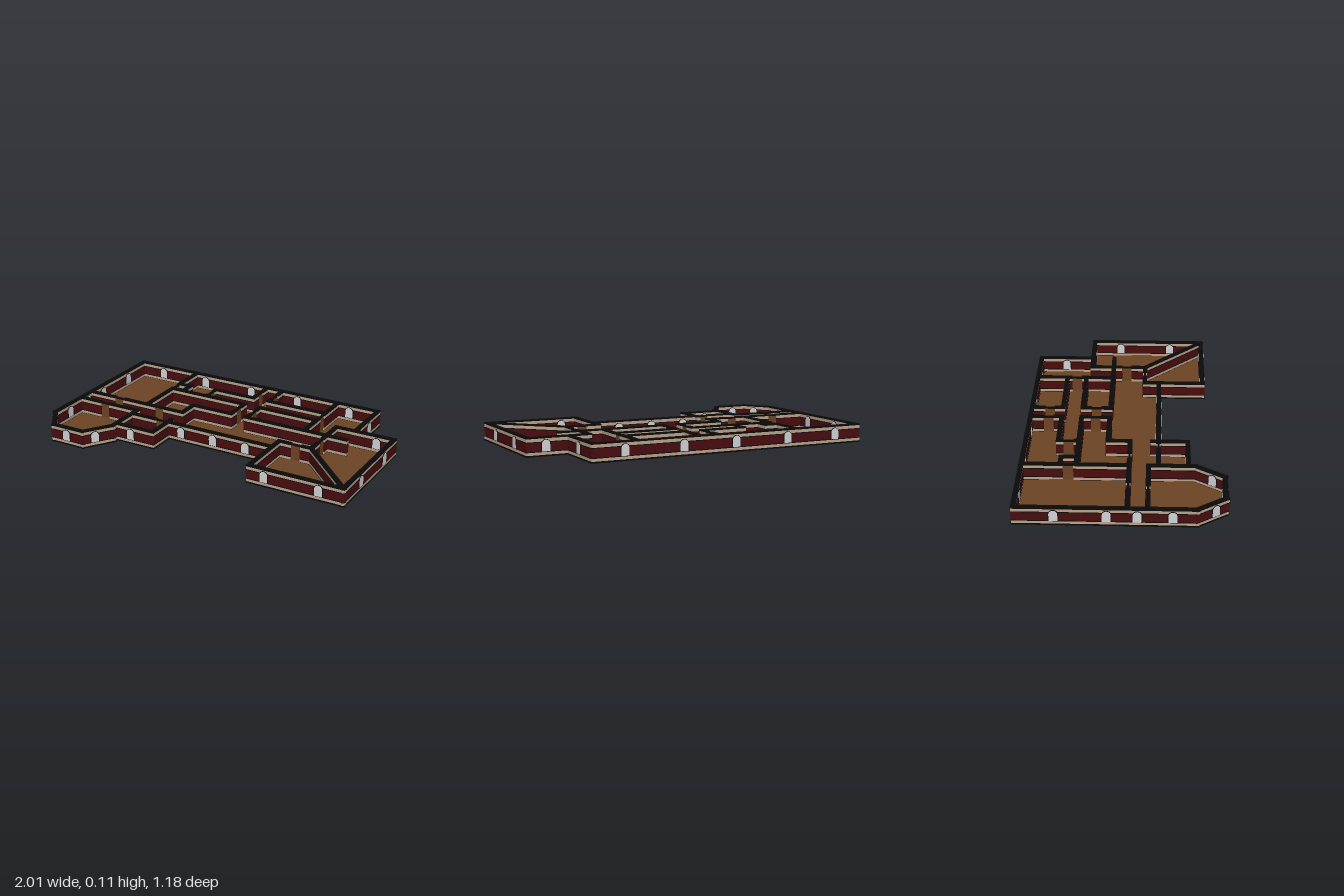
import * as THREE from 'three';

const flat = (name, color, opts = {}) => {
  const m = new THREE.MeshStandardMaterial({ color, ...opts });
  m.name = name;
  return m;
};

export function createModel() {
  const black = flat('black trim', 0x0a0a0a);
  const tan = flat('tan plaster', 0xbca48c);
  const red = flat('dark red wall', 0x4a0d10);
  const brown = flat('brown wood', 0x6e4424);
  const glass = flat('pale glass', 0xd2d4d6);

  const model = new THREE.Group();
  model.name = 'floorPlanHouse';

  // Horizontal bands of every wall: bottom, top, thickness, material, name
  const bands = [
    [0.001, 0.01, 0.028, black, 'baseTrim'],
    [0.01, 0.026, 0.024, tan, 'lowerPlaster'],
    [0.026, 0.031, 0.027, black, 'lowerLine'],
    [0.031, 0.081, 0.026, red, 'wallPanel'],
    [0.081, 0.085, 0.027, black, 'upperLine'],
    [0.085, 0.103, 0.024, tan, 'upperPlaster'],
    [0.103, 0.112, 0.028, black, 'capTrim'],
  ];

  function box(parent, name, mat, x0, x1, y0, y1, thick) {
    const mesh = new THREE.Mesh(new THREE.BoxGeometry(x1 - x0, y1 - y0, thick), mat);
    mesh.position.set((x0 + x1) / 2, (y0 + y1) / 2, 0);
    mesh.name = name;
    parent.add(mesh);
  }

  // Arched plate centred through the wall thickness
  function arch(parent, name, mat, x, y0, top, width, depth) {
    const r = width / 2;
    const s = new THREE.Shape();
    s.moveTo(-r, y0);
    s.lineTo(r, y0);
    s.lineTo(r, top - r);
    s.absarc(0, top - r, r, 0, Math.PI, false);
    s.closePath();
    const geo = new THREE.ExtrudeGeometry(s, { depth, bevelEnabled: false, curveSegments: 10 });
    geo.translate(x, 0, -depth / 2);
    const mesh = new THREE.Mesh(geo, mat);
    mesh.name = name;
    parent.add(mesh);
  }

  // Wall from a to b; windows and doors are distances along it
  function wall(name, [ax, az], [bx, bz], { windows = [], doors = [] } = {}) {
    const g = new THREE.Group();
    g.name = name;
    g.position.set(ax, 0, az);
    g.rotation.y = -Math.atan2(bz - az, bx - ax);
    const len = Math.hypot(bx - ax, bz - az);
    const half = 0.03;
    const stops = [0, ...doors.flatMap((d) => [d - half, d + half]), len];
    for (const [y0, y1, t, mat, part] of bands) {
      for (let i = 0; i < stops.length; i += 2) {
        const start = stops[i] - (i === 0 ? t / 2 : 0);
        const end = stops[i + 1] + (i + 2 === stops.length ? t / 2 : 0);
        box(g, part, mat, start, end, y0, y1, t);
      }
    }
    for (const d of doors) {
      box(g, 'door', brown, d - half, d + half, 0.008, 0.1, 0.012);
      box(g, 'doorLintel', black, d - half, d + half, 0.1, 0.11, 0.013);
    }
    for (const w of windows) {
      arch(g, 'windowFrame', black, w, 0.027, 0.098, 0.056, 0.031);
      arch(g, 'windowPane', glass, w, 0.03, 0.095, 0.048, 0.034);
    }
    model.add(g);
  }

  // Floor slab
  const outline = [
    [-0.985, -0.575], [0.74, -0.575], [0.74, -0.235], [0.985, -0.235], [0.985, 0.478],
    [0.41, 0.478], [0.41, 0.2], [-0.3, 0.2], [-0.3, 0.37], [-0.56, 0.37], [-0.56, 0.41],
    [-0.665, 0.57], [-0.875, 0.57], [-0.985, 0.41],
  ];
  const shape = new THREE.Shape(outline.map(([x, z]) => new THREE.Vector2(x, -z)));
  const floorGeo = new THREE.ExtrudeGeometry(shape, { depth: 0.009, bevelEnabled: false });
  floorGeo.rotateX(-Math.PI / 2);
  const floor = new THREE.Mesh(floorGeo, brown);
  floor.name = 'floor';
  model.add(floor);

  // Outer walls of the main block
  wall('backWall', [-0.985, -0.575], [0.74, -0.575], { windows: [0.17, 0.5, 0.845, 1.18, 1.54] });
  wall('leftWall', [-0.985, -0.575], [-0.985, 0.41], { windows: [0.215, 0.5, 0.665, 0.855] });
  wall('rightWall', [0.74, -0.575], [0.74, -0.235], { windows: [0.165] });
  wall('frontWall', [-0.56, 0.2], [0.41, 0.2], { windows: [0.36, 0.58, 0.8], doors: [0.21] });

  // Bay room
  wall('bayLeft', [-0.985, 0.41], [-0.875, 0.57], { windows: [0.115] });
  wall('bayFront', [-0.875, 0.57], [-0.665, 0.57], { windows: [0.1] });
  wall('bayRight', [-0.56, 0.41], [-0.665, 0.57], { windows: [0.12] });
  wall('bayInner', [-0.56, 0.145], [-0.56, 0.41]);
  wall('bayBack', [-0.985, 0.145], [-0.56, 0.145], { doors: [0.19] });

  // Entry porch
  wall('porchFront', [-0.56, 0.37], [-0.3, 0.37], { windows: [0.11] });
  wall('porchRight', [-0.3, 0.165], [-0.3, 0.37]);

  // Right wing
  wall('wingBack', [0.617, -0.235], [0.985, -0.235], { windows: [0.265] });
  wall('wingRight', [0.985, -0.235], [0.985, 0.478], { windows: [0.175, 0.505] });
  wall('wingFront', [0.41, 0.478], [0.985, 0.478], { windows: [0.1, 0.435] });
  wall('wingLeft', [0.41, 0.11], [0.41, 0.478]);
  wall('wingStep', [0.41, 0.11], [0.617, 0.11], { doors: [0.11] });
  wall('wingInner', [0.617, -0.235], [0.617, 0.11], { doors: [0.225] });
  wall('wingDiagonal', [0.617, 0.11], [0.985, 0.478]);

  // Inner partitions
  wall('hallWall', [-0.985, 0.035], [-0.3, 0.035], { doors: [0.22, 0.52] });
  wall('leftRoomWall', [-0.56, -0.575], [-0.56, 0.035], { doors: [0.265] });
  wall('closetBack', [-0.56, -0.355], [-0.48, -0.355]);
  wall('closetSide', [-0.48, -0.355], [-0.48, -0.265]);
  wall('hallStep', [-0.3, -0.095], [-0.3, 0.035]);
  wall('nookSide', [-0.305, -0.385], [-0.305, -0.265], { doors: [0.06] });
  wall('middleLeftBack', [-0.305, -0.385], [-0.03, -0.385]);
  wall('middleLeftCentre', [-0.56, -0.265], [-0.03, -0.265]);
  wall('middleLeftFront', [-0.3, -0.095], [-0.03, -0.095]);
  wall('middleRightBack', [0.08, -0.385], [0.47, -0.385]);
  wall('middleRightCentre', [0.08, -0.265], [0.47, -0.265]);
  wall('middleRightFront', [0.08, -0.095], [0.74, -0.095]);
  for (const x of [-0.03, 0.08]) {
    wall('corridorBack', [x, -0.575], [x, -0.385], { doors: [0.11] });
    wall('corridorFront', [x, -0.265], [x, -0.095], { doors: [0.085] });
  }
  wall('rightRoomWall', [0.47, -0.575], [0.47, -0.095], { doors: [0.25] });

  return model;
}
